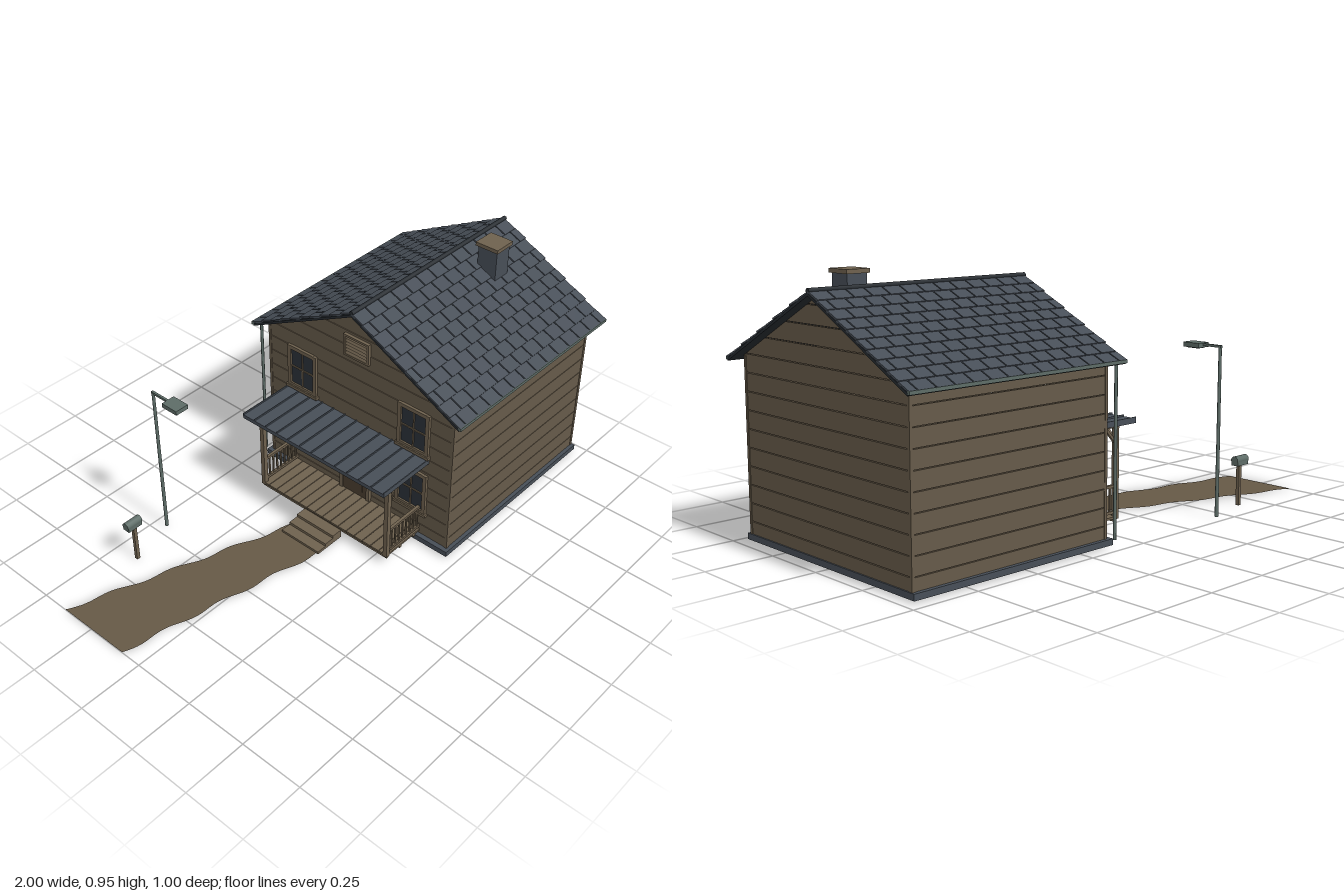
import * as THREE from 'three';
import { mergeGeometries } from 'three/addons/utils/BufferGeometryUtils.js';

const mat = (name, color, extra = {}) => {
  const m = new THREE.MeshStandardMaterial({ color, ...extra });
  m.name = name;
  return m;
};

export function createModel() {
  const model = new THREE.Group();
  model.name = 'cabin';
  const siding = mat('siding brown', 0x665a49);
  const timber = mat('timber brown', 0x6e614e);
  const slate = mat('slate', 0x474e57);
  const dark = mat('dark underlay', 0x262b30);
  const metal = mat('green grey metal', 0x5d6c67);
  const glass = mat('window glass', 0x2b3138);
  const doorPaint = mat('door brown', 0x4a3d30);
  const dirt = mat('path brown', 0x665946, { side: THREE.DoubleSide });

  const add = (name, geos, material, parent = model) => {
    const mesh = new THREE.Mesh(Array.isArray(geos) ? mergeGeometries(geos) : geos, material);
    mesh.name = name;
    parent.add(mesh);
    return mesh;
  };
  // Box given by its limits on each axis
  const span = (x0, x1, y0, y1, z0, z1) =>
    new THREE.BoxGeometry(x1 - x0, y1 - y0, z1 - z0)
      .translate((x0 + x1) / 2, (y0 + y1) / 2, (z0 + z1) / 2);
  // Square bar between two points
  const bar = (a, b, w) => {
    const p = new THREE.Vector3(...a), q = new THREE.Vector3(...b);
    const g = new THREE.BoxGeometry(w, p.distanceTo(q), w);
    g.applyQuaternion(new THREE.Quaternion().setFromUnitVectors(
      new THREE.Vector3(0, 1, 0), q.clone().sub(p).normalize()));
    return g.translate(...p.add(q).multiplyScalar(0.5).toArray());
  };

  // Foundation
  add('foundation', span(0.11, 0.965, 0.008, 0.03, -0.46, 0.46), slate);

  // Board siding with narrow gaps; end boards follow the gable
  const pitch = 0.0645, gap = 0.003, slope = 0.515, peak = 0.885;
  const half = y => Math.max(0.001, Math.min(0.443, (peak - y) / slope));
  const sideBoards = [], endBoards = [];
  for (let y = 0.012; y < peak - 0.02; y += pitch) {
    const y0 = Math.max(y, 0.03), y1 = Math.min(y + pitch - gap, peak);
    if (y1 < 0.67) {
      for (const s of [-1, 1]) {
        sideBoards.push(span(0.132, 0.958, y0, y1, s * 0.44 - 0.005, s * 0.44 + 0.005));
      }
    }
    const pts = [[-half(y0), y0], [half(y0), y0]];
    const bend = peak - 0.443 * slope;
    if (bend > y0 && bend < y1) pts.push([0.443, bend]);
    pts.push([half(y1), y1], [-half(y1), y1]);
    if (bend > y0 && bend < y1) pts.push([-0.443, bend]);
    const shape = new THREE.Shape(pts.map(p => new THREE.Vector2(...p)));
    for (const x of [0.14, 0.96]) {
      endBoards.push(new THREE.ExtrudeGeometry(shape, { depth: 0.01, bevelEnabled: false })
        .rotateY(-Math.PI / 2).translate(x, 0, 0));
    }
  }
  add('sideSiding', sideBoards, siding);
  add('gableSiding', endBoards, siding);
  const corners = [];
  for (const x of [0.134, 0.956]) for (const z of [-0.441, 0.441]) {
    corners.push(span(x - 0.006, x + 0.006, 0.03, 0.65, z - 0.006, z + 0.006));
  }
  add('cornerBoards', corners, siding);

  // Roof: two slopes of staggered shingles over a dark deck
  for (const s of [1, -1]) {
    const turn = new THREE.Group();
    turn.name = s > 0 ? 'frontRoof' : 'backRoof';
    turn.position.set(0.545, 0.893, 0);
    turn.rotation.y = s > 0 ? 0 : Math.PI;
    const pane = new THREE.Group();
    pane.name = 'roofSlope';
    pane.rotation.x = Math.atan(slope);
    turn.add(pane);
    model.add(turn);
    add('roofDeck', span(-0.455, 0.455, -0.011, -0.002, 0, 0.555), dark, pane);
    const tiles = [], rows = 10, w = 0.07, run = 0.0555;
    for (let r = 0; r < rows; r++) {
      for (let x = -0.455 - (r % 2) * w / 2; x < 0.454; x += w) {
        const x0 = Math.max(x, -0.455), x1 = Math.min(x + w - 0.005, 0.455);
        if (x1 - x0 < 0.004) continue;
        tiles.push(span(x0, x1, -0.003, 0.003, 0, run + 0.003)
          .rotateX(-0.06).translate(0, 0.0005, r * run));
      }
    }
    add('shingles', tiles, slate, pane);
    add('gutter', span(0.09, 1, 0.633, 0.645, s * 0.493 - 0.006, s * 0.493 + 0.006), metal);
  }
  add('ridgeCap', new THREE.CylinderGeometry(0.009, 0.009, 0.91, 8)
    .rotateZ(Math.PI / 2).translate(0.545, 0.896, 0), dark);
  add('downspout', new THREE.CylinderGeometry(0.006, 0.006, 0.605, 8)
    .translate(0.118, 0.333, -0.474), metal);

  // Chimney
  add('chimney', span(0.712, 0.79, 0.78, 0.932, 0.085, 0.17), slate);
  add('chimneyCap', span(0.704, 0.798, 0.932, 0.947, 0.077, 0.177), timber);

  // Windows on the porch gable
  for (const z of [-0.27, 0.27]) for (const y of [0.23, 0.505]) {
    const win = new THREE.Group();
    win.name = 'window';
    win.position.set(0.13, y, z);
    model.add(win);
    add('glassPane', span(-0.004, 0.004, -0.085, 0.085, -0.06, 0.06), glass, win);
    const frame = [span(-0.016, 0, -0.1, -0.088, -0.078, 0.078)];
    for (const s of [-1, 1]) {
      frame.push(span(-0.011, 0, -0.092, 0.092, s * 0.064 - 0.008, s * 0.064 + 0.008));
      frame.push(span(-0.011, 0, s * 0.085 - 0.008, s * 0.085 + 0.008, -0.058, 0.058));
    }
    frame.push(span(-0.008, 0, -0.003, 0.003, -0.058, 0.058));
    frame.push(span(-0.0075, 0, -0.08, 0.08, -0.003, 0.003));
    add('windowFrame', frame, timber, win);
  }

  // Door, wall lamp and gable vent
  add('door', span(0.122, 0.132, 0.05, 0.33, -0.06, 0.06), doorPaint);
  add('doorPanels', [0.12, 0.25].map(y =>
    span(0.119, 0.123, y - 0.045, y + 0.045, -0.04, 0.04)), doorPaint);
  add('doorFrame', [span(0.117, 0.131, 0.05, 0.345, -0.075, -0.06),
    span(0.117, 0.131, 0.05, 0.345, 0.06, 0.075),
    span(0.117, 0.131, 0.33, 0.345, -0.06, 0.06)], timber);
  add('doorKnob', new THREE.SphereGeometry(0.006, 10, 8).translate(0.116, 0.18, 0.045), metal);
  add('wallLamp', [span(0.092, 0.114, 0.32, 0.348, 0.09, 0.114),
    span(0.088, 0.13, 0.348, 0.354, 0.086, 0.118)], metal);
  const slats = [];
  for (let i = 0; i < 6; i++) {
    slats.push(new THREE.BoxGeometry(0.004, 0.012, 0.1).rotateZ(-0.5)
      .translate(0.123, 0.695 + i * 0.013, 0));
  }
  for (const s of [-1, 1]) {
    slats.push(span(0.117, 0.131, 0.683, 0.773, s * 0.055 - 0.005, s * 0.055 + 0.005));
    slats.push(span(0.117, 0.131, 0.728 + s * 0.041 - 0.004, 0.728 + s * 0.041 + 0.004, -0.05, 0.05));
  }
  add('ventBack', span(0.127, 0.131, 0.685, 0.77, -0.052, 0.052), dark);
  add('gableVent', slats, timber);

  // Porch deck and steps
  const planks = [];
  for (let i = 0; i < 16; i++) {
    planks.push(span(-0.065, 0.13, 0.042, 0.05, -0.32 + i * 0.04, -0.283 + i * 0.04));
  }
  add('porchPlanks', planks, timber);
  add('porchJoists', [-0.055, 0.02, 0.1].map(x =>
    span(x - 0.006, x + 0.006, 0.03, 0.042, -0.315, 0.315)), timber);
  add('steps', [0, 1, 2].map(i =>
    span(-0.19 + i * 0.042, -0.06, i * 0.0115, i * 0.0115 + 0.0115, -0.095, 0.09)), timber);

  // Porch posts, braces and side railings
  const posts = [], rails = [];
  for (const z of [-0.31, 0.31]) {
    posts.push(span(-0.067, -0.049, 0.04, 0.385, z - 0.009, z + 0.009));
    posts.push(bar([-0.056, 0.315, z], [0.005, 0.383, z], 0.01));
    posts.push(bar([-0.058, 0.315, z], [-0.058, 0.383, z - Math.sign(z) * 0.06], 0.01));
    posts.push(span(-0.058, 0.13, 0.37, 0.382, z - 0.006, z + 0.006));
    for (const y of [0.065, 0.16]) rails.push(span(-0.05, 0.13, y - 0.005, y + 0.005, z - 0.006, z + 0.006));
    for (let i = 0; i < 8; i++) {
      const x = -0.03 + i * 0.021;
      rails.push(span(x - 0.003, x + 0.003, 0.065, 0.16, z - 0.003, z + 0.003));
    }
  }
  posts.push(span(-0.066, -0.05, 0.368, 0.382, -0.32, 0.32));
  add('porchPosts', posts, timber);
  add('porchRailings', rails, timber);

  // Flat porch roof with raised seams
  add('porchRoof', span(-0.123, 0.132, 0.382, 0.398, -0.347, 0.343), slate);
  const seams = [];
  for (let i = 0; i <= 12; i++) {
    const z = -0.345 + i * 0.0572;
    seams.push(span(-0.123, 0.13, 0.398, 0.404, z - 0.002, z + 0.002));
  }
  add('porchRoofSeams', seams, slate);

  // Winding path: ribbon that narrows toward the steps
  const path = new THREE.PlaneGeometry(1, 1, 48, 1).rotateX(-Math.PI / 2);
  const pos = path.attributes.position;
  for (let i = 0; i < pos.count; i++) {
    const t = pos.getX(i) + 0.5, side = pos.getZ(i);
    const centre = -0.238 + 0.238 * t + 0.008 * Math.sin(t * Math.PI * 7.6);
    pos.setXYZ(i, -1 + 0.86 * t, 0.002, centre + side * (0.305 - 0.115 * t));
  }
  path.computeVertexNormals();
  add('path', path, dirt);

  // Mailbox with rounded top
  add('mailboxPost', span(-0.657, -0.643, 0, 0.16, -0.407, -0.393), timber);
  add('mailbox', [span(-0.685, -0.622, 0.157, 0.177, -0.416, -0.386),
    new THREE.CylinderGeometry(0.016, 0.016, 0.067, 12).rotateZ(Math.PI / 2)
      .translate(-0.6535, 0.177, -0.401)], metal);

  // Street lamp
  add('lampPost', [new THREE.CylinderGeometry(0.006, 0.007, 0.635, 10).translate(-0.455, 0.3175, -0.452),
    bar([-0.455, 0.633, -0.458], [-0.455, 0.633, -0.36], 0.009)], metal);
  add('lampHead', span(-0.483, -0.427, 0.622, 0.639, -0.375, -0.302), metal);
  add('lampLens', span(-0.475, -0.435, 0.619, 0.623, -0.366, -0.311), glass);

  return model;
}
